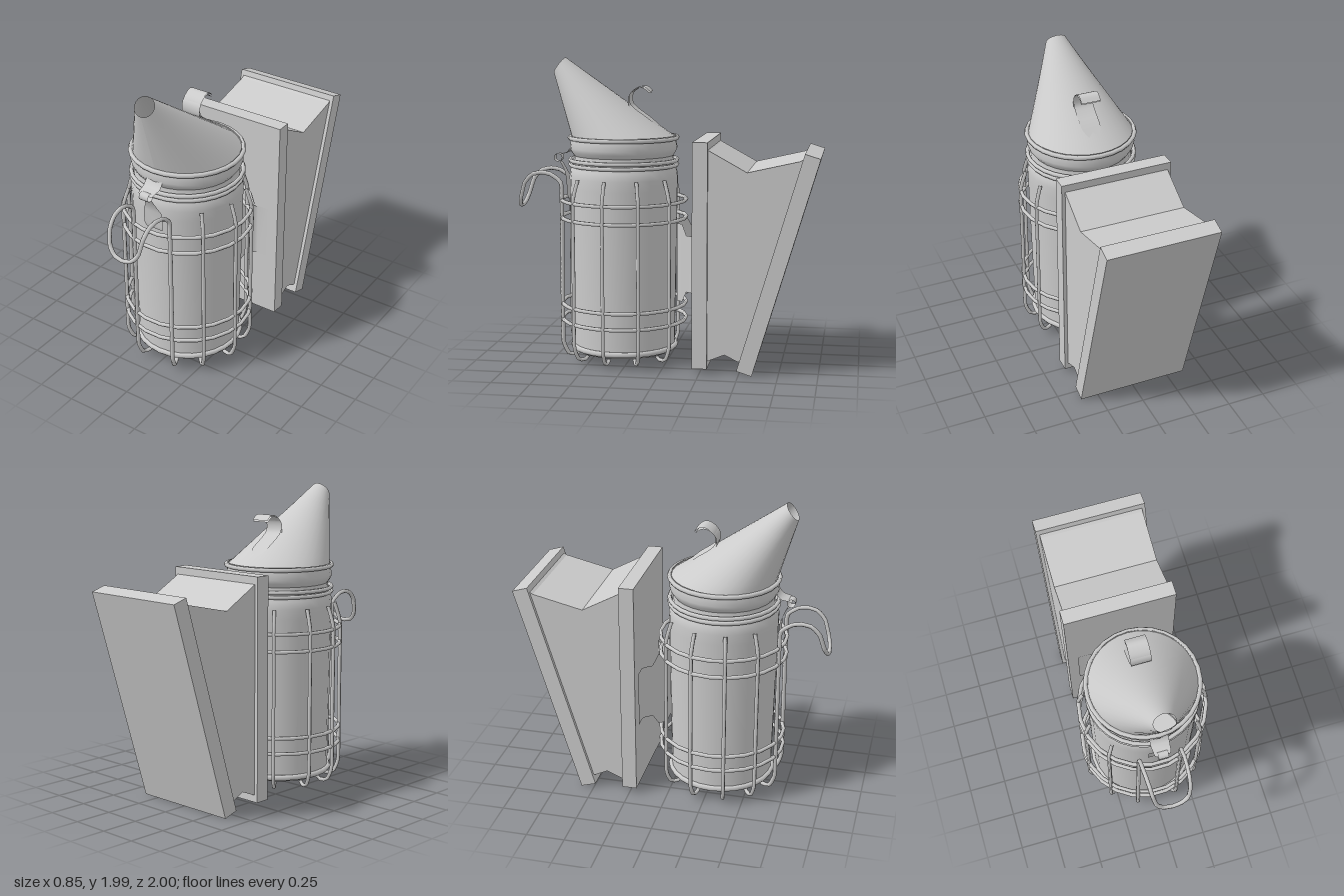
import * as THREE from 'three';
import { toCreasedNormals } from 'three/addons/utils/BufferGeometryUtils.js';

const CAN_Z = 0.297; // axis of the can
const mat = new THREE.MeshStandardMaterial({ color: 0xcccccc });
const thin = new THREE.MeshStandardMaterial({ color: 0xcccccc, side: THREE.DoubleSide });
const V = (x, y, z) => new THREE.Vector3(x, y, z);

function add(parent, name, geometry, material = mat) {
  const mesh = new THREE.Mesh(geometry, material);
  mesh.name = name;
  parent.add(mesh);
  return mesh;
}

// Solid with a side outline of [z, y] points, centred on x
function sideSolid(outline, width) {
  const shape = new THREE.Shape(outline.map(([z, y]) => new THREE.Vector2(z, y)));
  return new THREE.ExtrudeGeometry(shape, { depth: width, bevelEnabled: false })
    .rotateY(-Math.PI / 2)
    .translate(width / 2, 0, 0);
}

// Sheet running through pairs of edge points
function strip(pairs) {
  const index = [];
  for (let i = 0; i < pairs.length - 1; i++) {
    const a = 2 * i;
    index.push(a, a + 1, a + 2, a + 1, a + 3, a + 2);
  }
  const g = new THREE.BufferGeometry().setFromPoints(pairs.flat());
  g.setIndex(index);
  g.computeVertexNormals();
  return g;
}

// Ribbon of [z, y, halfWidth] sections
const ribbon = (sections) => strip(sections.map(([z, y, w]) => [V(-w, y, z), V(w, y, z)]));

// Round wire through points, with tight bends
function wire(points, radius = 0.013, segments = 40) {
  const curve = new THREE.CatmullRomCurve3(points, false, 'catmullrom', 0.2);
  return new THREE.TubeGeometry(curve, segments, radius, 6);
}

function hoop(parent, name, y, radius, tube, sides) {
  const g = new THREE.TorusGeometry(radius, tube, 6, sides).rotateX(Math.PI / 2);
  add(parent, name, g).position.set(0, y, CAN_Z);
}

function buildCan() {
  const can = new THREE.Group();
  can.name = 'fireCan';
  const profile = [
    [0, 0.07], [0.32, 0.07], [0.335, 0.085], [0.335, 0.15], [0.345, 0.65], [0.353, 1.15],
    [0.355, 1.22], [0.348, 1.27], [0.33, 1.3], [0.325, 1.36], [0.343, 1.385], [0.352, 1.41],
    [0.345, 1.45], [0.34, 1.49],
  ].map(([r, y]) => new THREE.Vector2(r, y));
  const body = toCreasedNormals(new THREE.LatheGeometry(profile, 28), 0.7);
  add(can, 'canBody', body, thin).position.z = CAN_Z;
  hoop(can, 'bottomRim', 0.1, 0.338, 0.019, 28);
  for (const y of [1.3, 1.33]) hoop(can, 'neckBead', y, 0.35, 0.014, 28);
  hoop(can, 'lidRim', 1.475, 0.351, 0.015, 28);
  return can;
}

function buildLid() {
  const lid = new THREE.Group();
  lid.name = 'lid';

  // Oblique cone from the round base to the tilted spout mouth
  const cone = new THREE.CylinderGeometry(1, 1, 1, 32, 8, true);
  const p = cone.attributes.position;
  for (let i = 0; i < p.count; i++) {
    const t = p.getY(i) + 0.5, c = p.getX(i), s = p.getZ(i);
    const base = V(0.338 * c, 1.48, CAN_Z + 0.338 * s);
    const mouth = V(0.068 * c, 1.94 - 0.05 * s, 0.718 + 0.038 * s);
    base.lerp(mouth, t);
    p.setXYZ(i, base.x, base.y, base.z);
  }
  cone.computeVertexNormals();
  add(lid, 'spoutCone', cone, thin);

  // Curled finger hook on the back slope
  const curl = new THREE.CatmullRomCurve3([
    V(0, 1.54, 0.07), V(0, 1.6, 0.145), V(0, 1.65, 0.215), V(0, 1.69, 0.252),
    V(0, 1.755, 0.247), V(0, 1.797, 0.19), V(0, 1.795, 0.155), V(0, 1.765, 0.118),
  ]).getPoints(24);
  for (const shift of [0, 0.013]) {
    add(lid, 'fingerHook', ribbon(curl.map((q, i) => {
      const w = 0.065 * Math.min(1, 0.55 + i * 0.2);
      return [q.z - shift * 0.6, q.y + shift * 0.8, w];
    })), thin);
  }
  return lid;
}

function buildLatch() {
  const latch = new THREE.Group();
  latch.name = 'latch';
  add(latch, 'latchPlate', ribbon([
    [0.655, 1.07, 0.06], [0.663, 1.1, 0.07], [0.667, 1.2, 0.068], [0.685, 1.25, 0.04],
    [0.705, 1.29, 0.032], [0.72, 1.31, 0.032],
  ]), thin);
  const loop = [];
  for (let i = 0; i <= 12; i++) {
    const a = (i / 12) * Math.PI * 2;
    loop.push([0.732 + 0.027 * Math.sin(a), 1.337 - 0.027 * Math.cos(a), 0.033]);
  }
  add(latch, 'latchLoop', ribbon(loop), thin);
  add(latch, 'lidCatch', ribbon([
    [0.74, 1.35, 0.05], [0.715, 1.36, 0.055], [0.67, 1.37, 0.06], [0.645, 1.4, 0.06], [0.64, 1.42, 0.05],
  ]), thin);
  return latch;
}

function buildCage() {
  const cage = new THREE.Group();
  cage.name = 'heatGuard';
  for (const y of [0.28, 0.385, 0.955, 1.07]) hoop(cage, 'guardRing', y, 0.41, 0.013, 22);

  const at = (deg, r, y) => {
    const a = THREE.MathUtils.degToRad(deg);
    return V(r * Math.sin(a), y, CAN_Z + r * Math.cos(a));
  };
  // Foot of every upright, hooked in under the can
  const foot = (deg) => [
    at(deg, 0.30, 0.06), at(deg, 0.31, 0.042), at(deg, 0.372, 0.045), at(deg, 0.41, 0.14),
  ];
  for (const deg of [48, 81, 113, 145, -47, -77, -108, -142]) {
    const points = [...foot(deg), at(deg, 0.41, 0.6), at(deg, 0.41, 1.08), at(deg, 0.37, 1.22)];
    add(cage, 'guardUpright', wire(points));
  }

  // Front uprights run on into one bent hanging handle
  const half = (s) => [
    ...foot(19.5 * s), at(19.5 * s, 0.41, 0.6), at(19.5 * s, 0.41, 1.15),
    V(0.135 * s, 1.2, 0.7), V(0.135 * s, 1.24, 0.76), V(0.132 * s, 1.25, 0.82), V(0.128 * s, 1.235, 0.885),
    V(0.122 * s, 1.18, 0.935), V(0.105 * s, 1.08, 0.965), V(0.065 * s, 1.03, 0.98),
  ];
  add(cage, 'hangingHandle', wire([...half(-1), V(0, 1.015, 0.985), ...half(1).reverse()], 0.014, 120));
  return cage;
}

function buildBracket() {
  // Bent plate between can and bellows: [x, z, bottom, top]
  const sections = [
    [0.3, -0.197, 0.49, 0.86], [0.22, -0.197, 0.49, 0.86], [0.195, -0.185, 0.49, 0.86],
    [0.16, -0.14, 0.49, 0.86], [0.13, -0.108, 0.42, 0.93], [0.1, -0.07, 0.42, 0.93], [0.05, -0.062, 0.42, 0.93],
  ];
  const mirrored = sections.map(([x, ...rest]) => [-x, ...rest]).reverse();
  return strip([...sections, ...mirrored].map(([x, z, lo, hi]) => [V(x, lo, z), V(x, hi, z)]));
}

function buildBellows() {
  const bellows = new THREE.Group();
  bellows.name = 'bellows';
  add(bellows, 'frontBoard', sideSolid([[-0.3, 0.04], [-0.203, 0.04], [-0.203, 1.48], [-0.3, 1.48]], 0.735));
  add(bellows, 'backBoard', sideSolid([[-0.585, 0.005], [-0.488, 0.035], [-0.9, 1.418], [-0.998, 1.388]], 0.735));
  // Leather folded inwards at top and bottom
  add(bellows, 'leather', sideSolid([
    [-0.295, 0.085], [-0.295, 1.435], [-0.31, 1.425], [-0.545, 1.295], [-0.87, 1.37],
    [-0.895, 1.385], [-0.51, 0.09], [-0.495, 0.09], [-0.41, 0.132], [-0.31, 0.09],
  ].reverse(), 0.69));
  return bellows;
}

export function createModel() {
  const model = new THREE.Group();
  model.name = 'beeSmoker';
  model.add(buildCan(), buildLid(), buildLatch(), buildCage(), buildBellows());
  add(model, 'bellowsBracket', buildBracket(), thin);
  return model;
}
